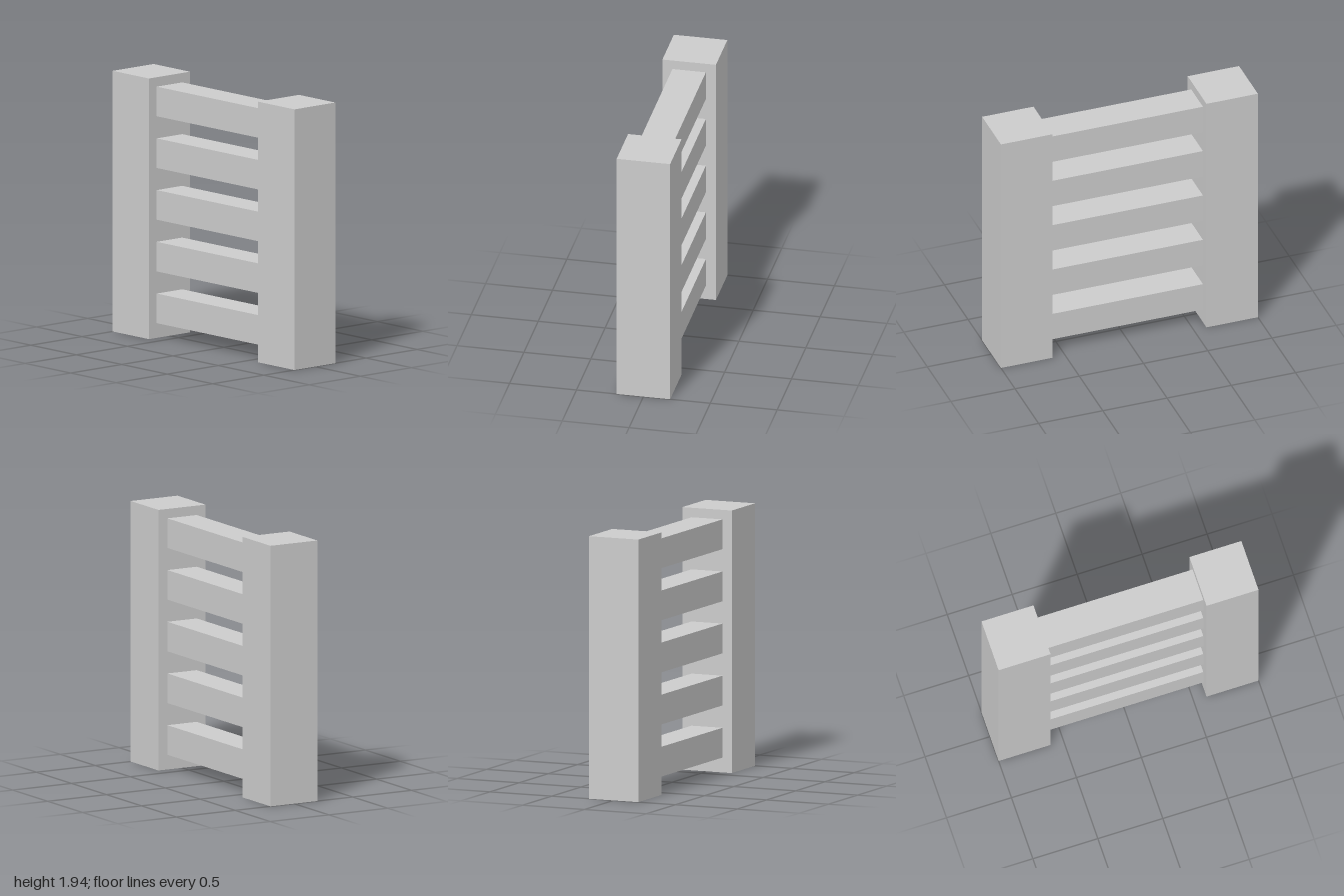
import * as THREE from 'three';

export function createModel() {
  const group = new THREE.Group();
  const material = new THREE.MeshStandardMaterial({ color: 0xcccccc, flatShading: true });

  const addBox = (name, width, height, depth, x, y) => {
    const mesh = new THREE.Mesh(new THREE.BoxGeometry(width, height, depth), material);
    mesh.name = name;
    mesh.position.set(x, y, 0);
    group.add(mesh);
  };

  // Square upright posts
  const postHeight = 1.94;
  addBox('leftPost', 0.4, postHeight, 0.4, 0.8, postHeight / 2);
  addBox('rightPost', 0.4, postHeight, 0.4, -0.8, postHeight / 2);

  // Evenly spaced rails between the posts
  for (let i = 0; i < 5; i++) {
    addBox(`rail${i + 1}`, 1.2, 0.22, 0.25, 0, 0.22 + i * 0.385);
  }

  return group;
}
